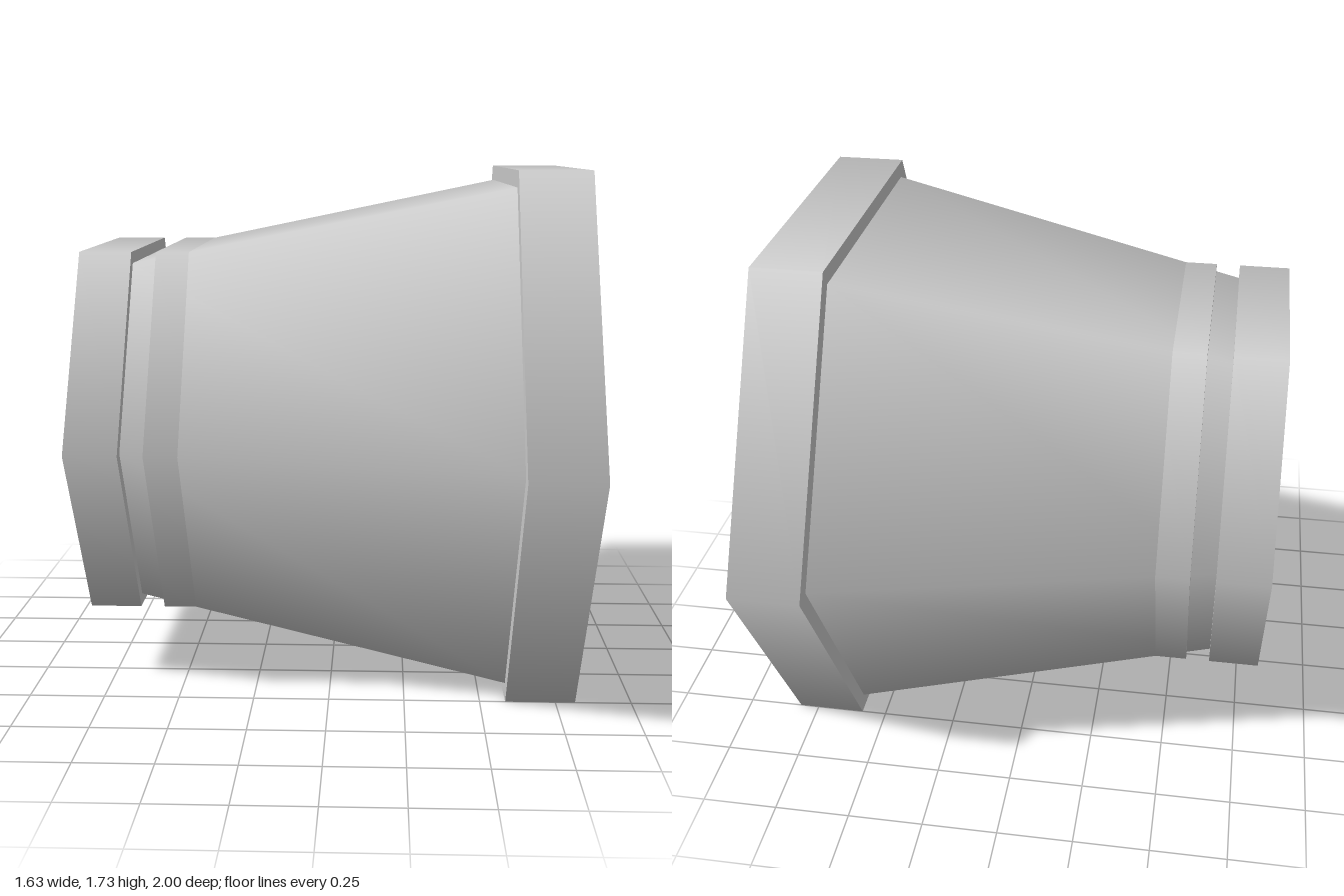
import * as THREE from 'three';

const SIDES = 6;
const CENTRE_Y = Math.sqrt(3) / 2; // the widest hexagon rests on a flat side

export function createModel() {
  const group = new THREE.Group();
  const material = new THREE.MeshStandardMaterial({ color: 0xcccccc });

  // Six-sided section lying along x, with smooth normals around its sides
  function section(name, x0, x1, r0, r1 = r0) {
    const geometry = new THREE.CylinderGeometry(r1, r0, x1 - x0, SIDES);
    geometry.rotateZ(-Math.PI / 2);
    const mesh = new THREE.Mesh(geometry, material);
    mesh.name = name;
    mesh.position.set((x0 + x1) / 2, CENTRE_Y, 0);
    group.add(mesh);
  }

  section('endCap', -0.815, -0.645, 0.695);
  // Tapered body, continuing through the collar and into the cap and rim
  section('taperedBody', -0.65, 0.59, 0.65, 0.94);
  // Collar that the body swallows as it widens
  section('collar', -0.565, -0.40, 0.695);
  section('rim', 0.585, 0.815, 1);

  return group;
}
